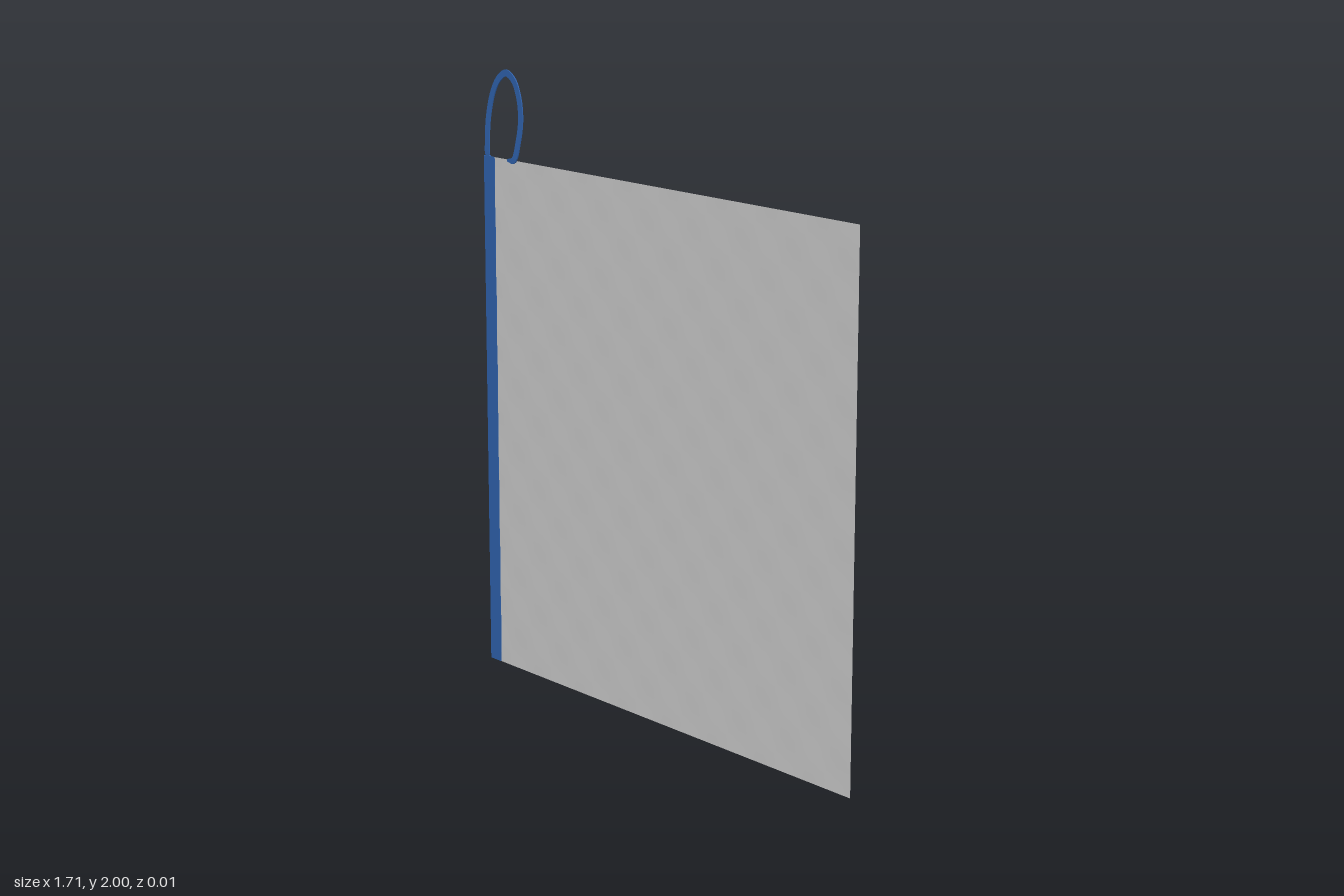
import * as THREE from 'three';

const SIZE = 1.71;      // side of the square cloth
const CLOTH_Z = -0.006;
const BAND = 0.055;     // width of the edge binding

// Gentle weave ripple of the cloth
const ripple = (x, y) => {
  const k = (2 * Math.PI * 8) / SIZE;
  return 0.0007 * Math.sin(k * x) * Math.sin(k * y);
};

function named(name, geometry, material) {
  const mesh = new THREE.Mesh(geometry, material);
  mesh.name = name;
  return mesh;
}

// Flat ribbon of rectangular section swept along a curve lying close to the xy plane
function ribbon(curve, steps, halfWidth, halfDepth) {
  const pos = [], index = [];
  const corners = [[-1, -1], [1, -1], [1, 1], [-1, 1]];
  for (let i = 0; i <= steps; i++) {
    const t = i / steps;
    const p = curve.getPointAt(t), d = curve.getTangentAt(t);
    const len = Math.hypot(d.x, d.y);
    const nx = -d.y / len, ny = d.x / len;
    const w = halfWidth * Math.min(1, 0.35 + 14 * Math.min(t, 1 - t)); // tapered tips
    // each side has its own corners so the edges stay crisp
    for (let s = 0; s < 4; s++) {
      for (const [a, b] of [corners[s], corners[(s + 1) % 4]]) {
        pos.push(p.x + nx * w * a, p.y + ny * w * a, p.z + halfDepth * b);
      }
      if (i < steps) {
        const a = i * 8 + s * 2, b = a + 8;
        index.push(a, a + 1, b, a + 1, b + 1, b);
      }
    }
  }
  const g = new THREE.BufferGeometry();
  g.setAttribute('position', new THREE.Float32BufferAttribute(pos, 3));
  g.setIndex(index);
  g.computeVertexNormals();
  return g;
}

export function createModel() {
  const group = new THREE.Group();
  group.name = 'hangingCloth';
  const grey = new THREE.MeshStandardMaterial({ color: 0xcccccc, side: THREE.DoubleSide });
  const blue = new THREE.MeshStandardMaterial({ color: 0x2f62ad, side: THREE.DoubleSide });

  // Thin square cloth
  const cloth = new THREE.PlaneGeometry(SIZE, SIZE, 64, 64);
  const p = cloth.attributes.position;
  for (let i = 0; i < p.count; i++) p.setZ(i, ripple(p.getX(i), p.getY(i)));
  cloth.computeVertexNormals();
  cloth.translate(0, SIZE / 2, CLOTH_Z);
  group.add(named('cloth', cloth, grey));

  // Binding folded round one side edge
  const binding = new THREE.BoxGeometry(BAND, SIZE, 0.003);
  binding.translate(-SIZE / 2 + BAND / 2, SIZE / 2, CLOTH_Z);
  group.add(named('edgeBinding', binding, blue));

  // Hanging loop, its feet lying in front of the cloth
  const path = new THREE.CatmullRomCurve3([
    [-0.805, 1.708, 0.003], [-0.823, 1.712, 0.003], [-0.828, 1.76, 0.001],
    [-0.825, 1.84, -0.003], [-0.803, 1.92, -0.005], [-0.772, 1.967, -0.006],
    [-0.735, 1.987, -0.006], [-0.696, 1.965, -0.006], [-0.668, 1.905, -0.005],
    [-0.66, 1.84, -0.003], [-0.669, 1.775, 0], [-0.69, 1.713, 0.003],
    [-0.722, 1.71, 0.003],
  ].map((a) => new THREE.Vector3(...a)));
  group.add(named('hangingLoop', ribbon(path, 96, 0.011, 0.002), blue));

  return group;
}
